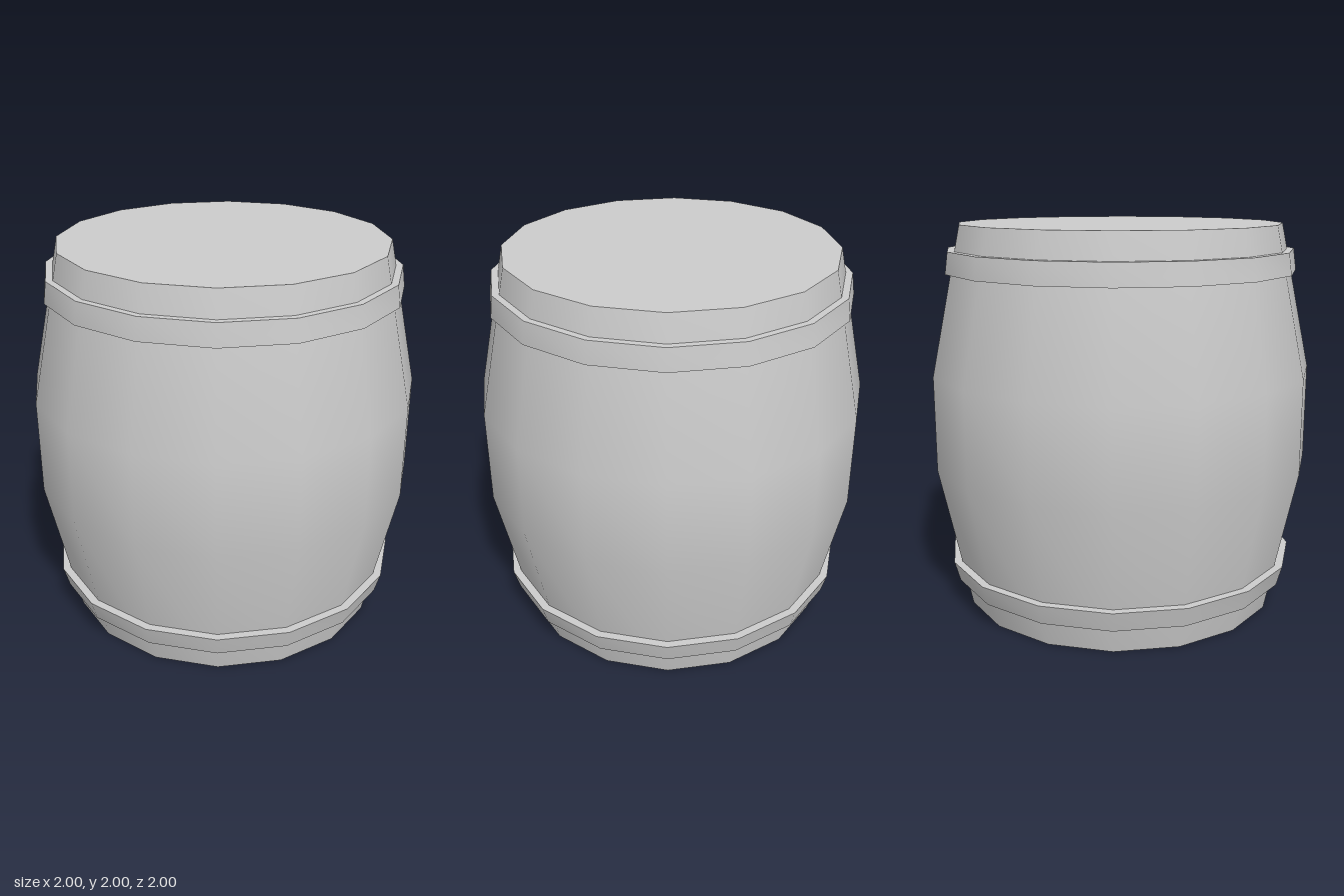
import * as THREE from 'three';
import { toCreasedNormals } from 'three/addons/utils/BufferGeometryUtils.js';

const SIDES = 16;

export function createModel() {
  const barrel = new THREE.Group();
  barrel.name = 'barrel';
  const material = new THREE.MeshStandardMaterial({ color: 0xcccccc });

  // Revolve a [radius, height] profile, smooth around but sharp at rims
  function addTurned(name, profile) {
    const points = profile.map(([r, y]) => new THREE.Vector2(r, y));
    const geometry = toCreasedNormals(new THREE.LatheGeometry(points, SIDES), 0.6);
    const mesh = new THREE.Mesh(geometry, material);
    mesh.name = name;
    barrel.add(mesh);
  }

  // Bulging body with flat closed ends
  addTurned('body', [
    [0, 0], [0.84, 0], [1, 0.76], [1, 1.25], [0.84, 2], [0, 2],
  ]);

  // Raised hoops around both ends, their inner walls sunk into the body
  addTurned('topHoop', [
    [0.84, 1.76], [0.918, 1.76], [0.903, 1.87], [0.84, 1.87], [0.84, 1.76],
  ]);
  addTurned('bottomHoop', [
    [0.84, 0.14], [0.905, 0.14], [0.934, 0.245], [0.84, 0.245], [0.84, 0.14],
  ]);

  return barrel;
}
